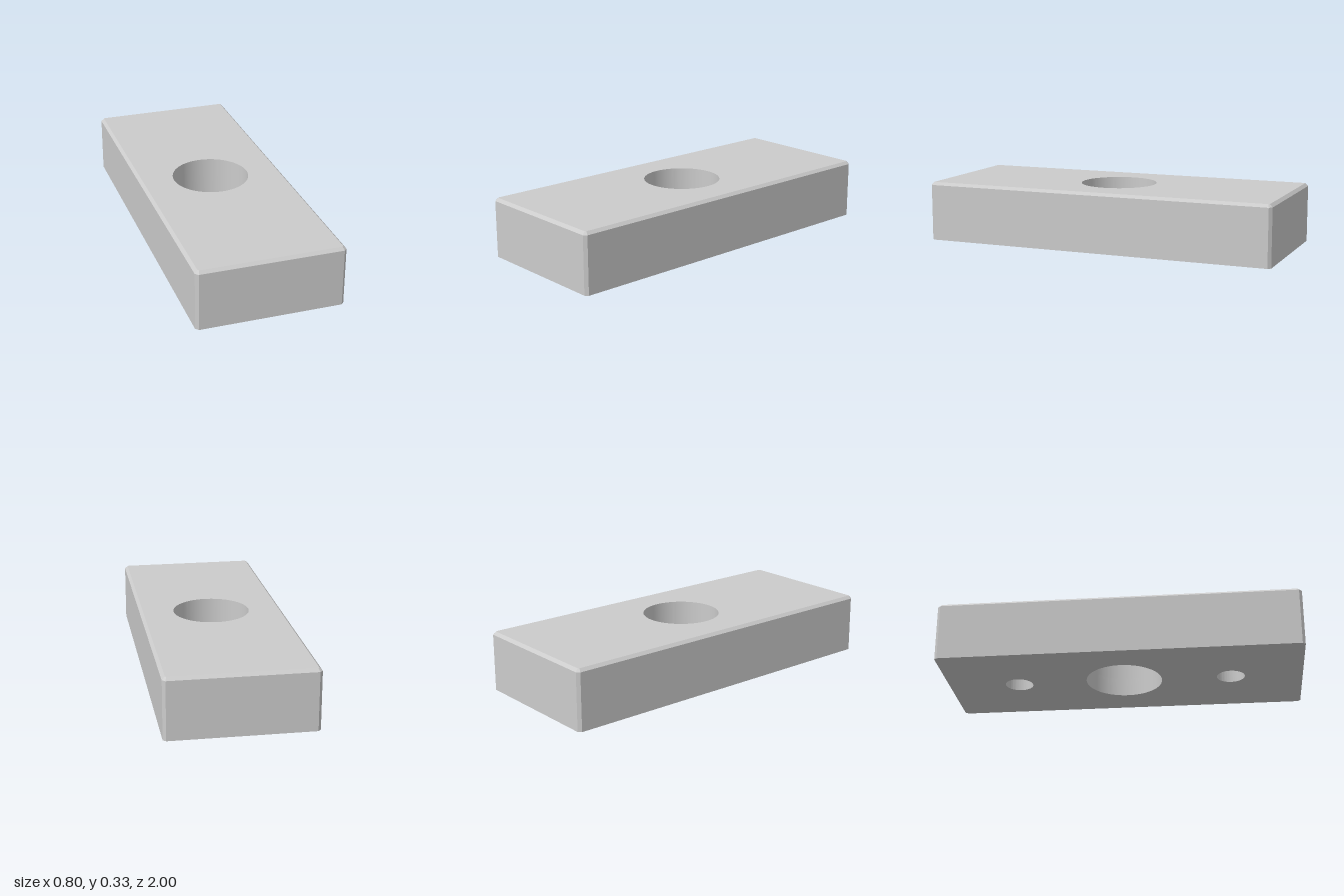
import * as THREE from 'three';
import { toCreasedNormals } from 'three/addons/utils/BufferGeometryUtils.js';

const HALF_W = 0.4, HALF_L = 1, HEIGHT = 0.333, CHAMFER = 0.016;
const INSERT_H = 0.105, BORE_R = 0.213;

// Rectangle outline with its corners cut off by c
function outline(w, l, c, Type = THREE.Shape) {
  const s = new Type();
  const pts = c > 0
    ? [[w, -l + c], [w, l - c], [w - c, l], [-w + c, l], [-w, l - c], [-w, -l + c], [-w + c, -l], [w - c, -l]]
    : [[w, -l], [w, l], [-w, l], [-w, -l]];
  s.setFromPoints(pts.map(([x, y]) => new THREE.Vector2(x, y)));
  s.closePath();
  return s;
}

function circle(r, y = 0) {
  return new THREE.Path().absarc(0, y, r, 0, Math.PI * 2, true);
}

// Extrude a plan shape upwards, standing on y = 0
function slab(shape, depth, steps = 1) {
  const geo = new THREE.ExtrudeGeometry(shape, { depth, steps, curveSegments: 64, bevelEnabled: false });
  return geo.rotateX(-Math.PI / 2);
}

export function createModel() {
  const group = new THREE.Group();
  const material = new THREE.MeshStandardMaterial({ color: 0xcccccc });
  const add = (name, geo) => {
    const mesh = new THREE.Mesh(toCreasedNormals(geo, 0.5), material);
    mesh.name = name;
    group.add(mesh);
  };

  // Upper block: the last layer is pulled in to chamfer the top edge
  const topShape = outline(HALF_W, HALF_L, CHAMFER);
  topShape.holes.push(circle(BORE_R));
  const top = slab(topShape, 1, 2);
  const levels = [INSERT_H, HEIGHT - CHAMFER, HEIGHT];
  const pos = top.attributes.position;
  const minor = CHAMFER * Math.tan(Math.PI / 8);
  for (let i = 0; i < pos.count; i++) {
    const x = pos.getX(i), z = pos.getZ(i);
    const level = Math.round(pos.getY(i) * 2);
    pos.setY(i, levels[level]);
    if (level === 2 && Math.hypot(x, z) > 0.5) {
      const onSide = Math.abs(x) > HALF_W - 0.001;
      pos.setX(i, x - Math.sign(x) * (onSide ? CHAMFER : minor));
      pos.setZ(i, z - Math.sign(z) * (onSide ? minor : CHAMFER));
    }
  }
  add('upperBlock', top);

  // Rim around the pocket in the underside
  const rimShape = outline(HALF_W, HALF_L, CHAMFER);
  rimShape.holes.push(outline(HALF_W - 0.05, HALF_L - 0.05, 0, THREE.Path));
  add('lowerRim', slab(rimShape, INSERT_H));

  // Flush base insert with the centre bore and two blind screw holes
  const insertShape = outline(HALF_W - 0.05, HALF_L - 0.05, 0);
  insertShape.holes.push(circle(BORE_R), circle(0.078, 0.6), circle(0.078, -0.6));
  add('baseInsert', slab(insertShape, INSERT_H));

  return group;
}
